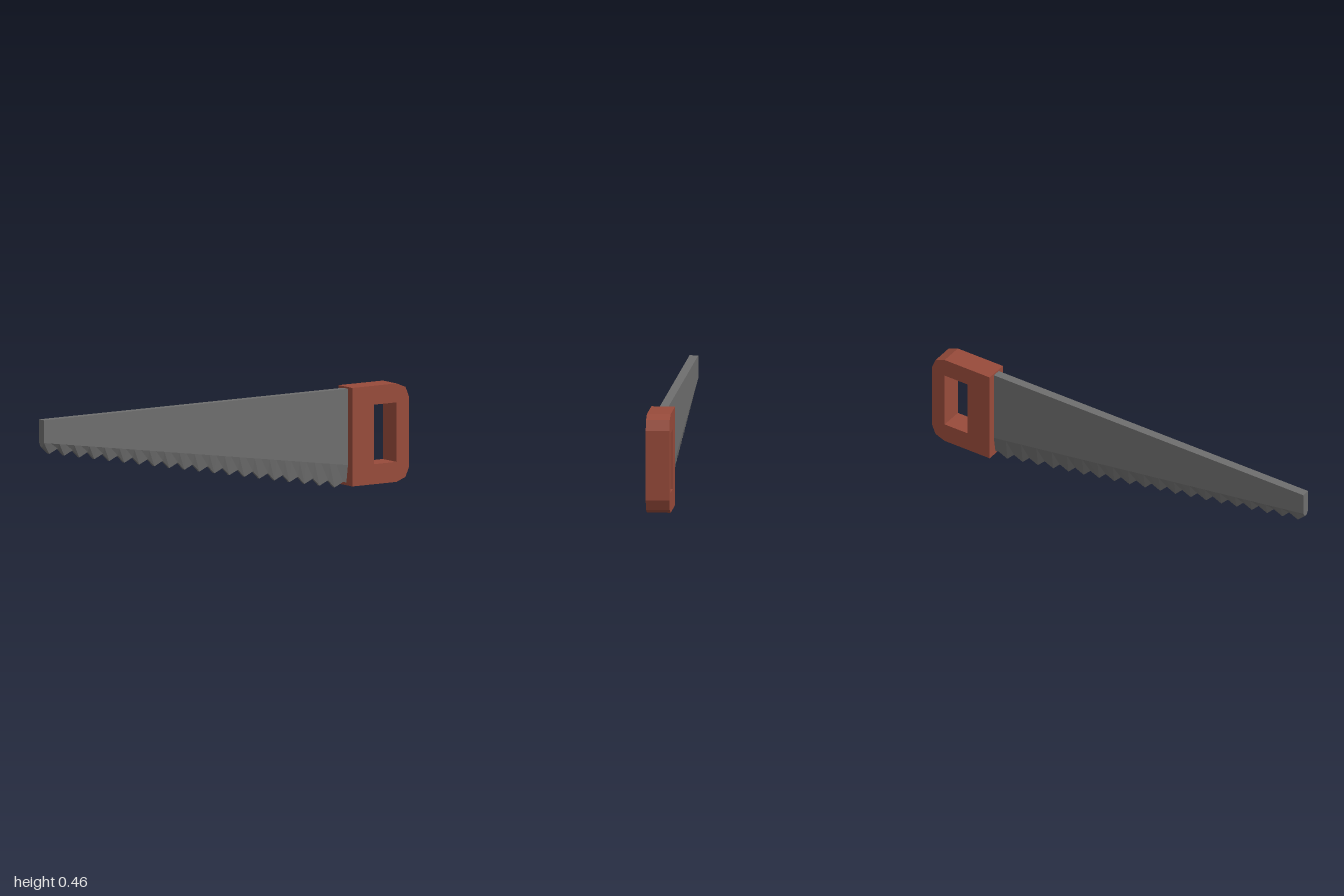
import * as THREE from 'three';

const steel = new THREE.MeshStandardMaterial({ color: 0x6e6e6e, flatShading: true });
steel.name = 'steel';
const wood = new THREE.MeshStandardMaterial({ color: 0x984b3b, flatShading: true });
wood.name = 'redBrownWood';

// Blade: six-sided cross-sections along x, bevelled towards a toothed lower edge
function bladeGeometry() {
  const top = 0.449, half = 0.02, edge = 0.007;
  const teeth = 20, pitch = 0.0832, drop = 0.01525;

  // Lower edge as a zigzag of tips and notches
  const zigzag = [[-1, 0.325]];
  for (let i = 0; i < teeth; i++) {
    const x = -0.961 + i * pitch, y = 0.29 - i * drop;
    zigzag.push([x, y], [x + 0.047, y + 0.021]);
  }
  zigzag.push([0.7, 0.015]);

  const rings = zigzag.map(([x, y]) => {
    const bevel = 0.345 - 0.146 * (x + 1);
    return [
      [x, top, half], [x, bevel, half], [x, y, edge],
      [x, y, -edge], [x, bevel, -half], [x, top, -half],
    ];
  });

  const pos = [];
  const tri = (a, b, c) => pos.push(...a, ...b, ...c);
  for (let i = 0; i < rings.length - 1; i++) {
    const a = rings[i], b = rings[i + 1];
    for (let k = 0; k < 6; k++) {
      const n = (k + 1) % 6;
      tri(a[k], a[n], b[n]);
      tri(a[k], b[n], b[k]);
    }
  }
  // End caps
  const first = rings[0], last = rings[rings.length - 1];
  for (let k = 1; k < 5; k++) {
    tri(first[0], first[k + 1], first[k]);
    tri(last[0], last[k], last[k + 1]);
  }
  const geo = new THREE.BufferGeometry();
  geo.setAttribute('position', new THREE.Float32BufferAttribute(pos, 3));
  geo.computeVertexNormals();
  return geo;
}

// Handle: block with chamfered outer corners and a rectangular grip hole
function handleGeometry() {
  const points = (list) => list.map(([x, y]) => new THREE.Vector2(x, y));
  const shape = new THREE.Shape(points([
    [0.685, 0.005], [0.93, 0.005], [0.98, 0.024], [1, 0.071],
    [1, 0.389], [0.98, 0.437], [0.93, 0.457], [0.685, 0.457],
  ]));
  shape.holes.push(new THREE.Path(points([
    [0.805, 0.097], [0.805, 0.37], [0.93, 0.37], [0.93, 0.097],
  ])));
  const depth = 0.108;
  return new THREE.ExtrudeGeometry(shape, { depth, bevelEnabled: false }).translate(0, 0, -depth / 2);
}

export function createModel() {
  const saw = new THREE.Group();
  saw.name = 'handSaw';
  const blade = new THREE.Mesh(bladeGeometry(), steel);
  blade.name = 'blade';
  const handle = new THREE.Mesh(handleGeometry(), wood);
  handle.name = 'handle';
  saw.add(blade, handle);
  return saw;
}
